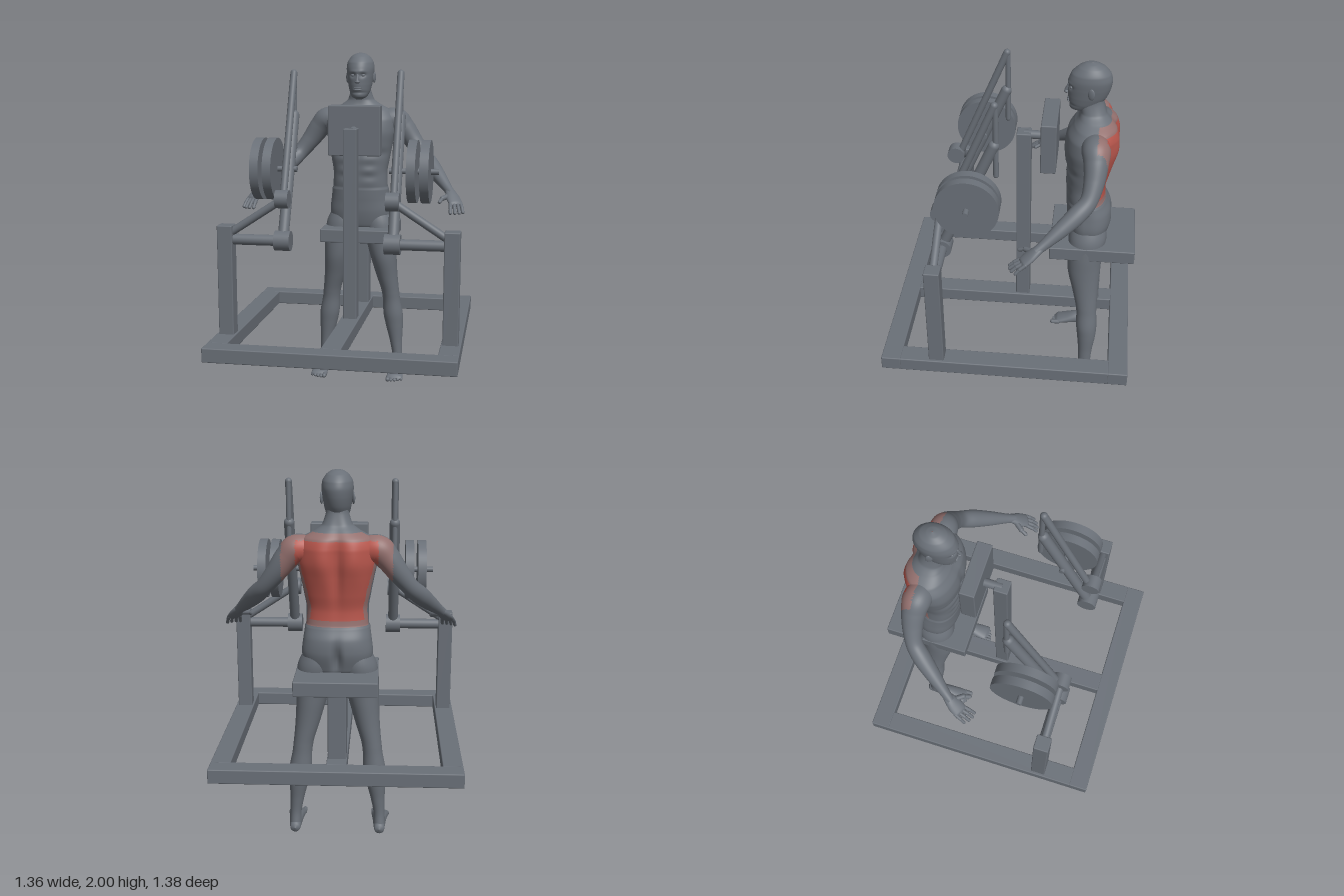
import * as THREE from 'three';
import { RoundedBoxGeometry } from 'three/addons/geometries/RoundedBoxGeometry.js';

const grey = new THREE.MeshStandardMaterial({ color: 0x6a7078 });
grey.name = 'slate grey';
const red = new THREE.MeshStandardMaterial({ color: 0xb9574d });
red.name = 'muscle red';
const pink = new THREE.MeshStandardMaterial({ color: 0x93706e });
pink.name = 'muscle edge pink';

const V = (a) => new THREE.Vector3(...a);
const bump = (v, c, w) => Math.exp(-(((v - c) / w) ** 2));

function add(parent, name, geometry, material = grey) {
  const mesh = new THREE.Mesh(geometry, material);
  mesh.name = name;
  parent.add(mesh);
  return mesh;
}

// Box given by its limits on each axis, with softly rounded edges
function box(parent, name, [x0, x1], [y0, y1], [z0, z1]) {
  const g = new RoundedBoxGeometry(x1 - x0, y1 - y0, z1 - z0, 2, 0.006);
  g.translate((x0 + x1) / 2, (y0 + y1) / 2, (z0 + z1) / 2);
  return add(parent, name, g);
}

// Bar between two points, flat-ended or round-ended
function bar(parent, name, from, to, r, round = false, sides = 28) {
  const a = V(from), b = V(to), len = a.distanceTo(b);
  const g = round ? new THREE.CapsuleGeometry(r, len, 6, sides) : new THREE.CylinderGeometry(r, r, len, sides);
  const mesh = add(parent, name, g);
  mesh.position.copy(a).add(b).multiplyScalar(0.5);
  mesh.quaternion.setFromUnitVectors(V([0, 1, 0]), b.sub(a).normalize());
  return mesh;
}

function ball(parent, name, [x, y, z], [rx, ry, rz]) {
  const mesh = add(parent, name, new THREE.SphereGeometry(1, 20, 14));
  mesh.position.set(x, y, z);
  mesh.scale.set(rx, ry, rz);
  return mesh;
}

// Smooth skin over oval sections [x, y, z, half width, half depth];
// sections stand across `axis`, or across the path when axis is null
function skin(stations, { axis = null, up = [0, 0, 1], around = 32, along = 48, power = 2, deform = null } = {}) {
  const path = new THREE.CatmullRomCurve3(stations.map((s) => V(s.slice(0, 3))));
  const size = new THREE.CatmullRomCurve3(stations.map((s) => new THREE.Vector3(s[3], s[4] ?? s[3], 0)));
  const pos = [], idx = [], e = 2 / power;
  const curve = (v) => Math.sign(v) * Math.abs(v) ** e;
  for (let i = 0; i <= along; i++) {
    const t = i / along, c = path.getPoint(t), r = size.getPoint(t);
    const d = axis ? V(axis) : path.getTangent(t);
    const A = new THREE.Vector3().crossVectors(d, V(up)).normalize();
    const B = new THREE.Vector3().crossVectors(A, d);
    for (let j = 0; j < around; j++) {
      const q = (j / around) * Math.PI * 2;
      const p = c.clone().addScaledVector(A, Math.max(r.x, 0.001) * curve(Math.cos(q)))
        .addScaledVector(B, Math.max(r.y, 0.001) * curve(Math.sin(q)));
      if (deform) deform(p, Math.sin(q));
      pos.push(p.x, p.y, p.z);
      if (i < along) {
        const a = i * around + j, b = i * around + ((j + 1) % around);
        idx.push(a, a + around, b, b, a + around, b + around);
      }
    }
  }
  const g = new THREE.BufferGeometry();
  g.setAttribute('position', new THREE.Float32BufferAttribute(pos, 3));
  g.setIndex(idx);
  g.computeVertexNormals();
  return g;
}

// Sort faces into grey, red and pink groups by where they lie on the back
function paintBack(g) {
  const p = g.attributes.position, old = g.index.array, lists = [[], [], []];
  for (let i = 0; i < old.length; i += 3) {
    const f = [old[i], old[i + 1], old[i + 2]];
    const mean = (get) => f.reduce((s, k) => s + p[get](k) / 3, 0);
    const x = Math.abs(mean('getX')), y = mean('getY'), z = mean('getZ');
    const low = Math.max(0, 1.4 - y) * 0.12;
    const isRed = y > 1.22 && y < 1.645 && z < -0.485 + low && x < 0.215;
    const isPink = y > 1.19 && y < 1.685 && z < -0.455 + low && x < 0.29;
    lists[isRed ? 1 : isPink ? 2 : 0].push(...f);
  }
  g.setIndex(lists.flat());
  let start = 0;
  lists.forEach((l, m) => { g.addGroup(start, l.length, m); start += l.length; });
  return g;
}

// Upright section from [y, half width, front z, back z]
const upright = ([y, w, f, b]) => [0, y, (f + b) / 2, w, (f - b) / 2];

function buildMachine(root) {
  const m = new THREE.Group();
  m.name = 'machine';
  root.add(m);
  const h = [0.37, 0.45];
  box(m, 'frontFrameBeam', [-0.68, 0.68], h, [0.58, 0.69]);
  box(m, 'backFrameBeam', [-0.68, 0.68], h, [-0.69, -0.58]);
  box(m, 'centreFrameBeam', [-0.055, 0.055], h, [-0.585, 0.585]);
  box(m, 'padPost', [-0.04, 0.04], [0.44, 1.57], [-0.09, -0.01]);
  box(m, 'seatPost', [-0.05, 0.05], [0.44, 0.87], [-0.51, -0.41]);
  box(m, 'seat', [-0.22, 0.22], [0.865, 0.945], [-0.695, -0.215]);
  box(m, 'chestPad', [-0.155, 0.155], [1.4, 1.695], [-0.235, -0.15]);
  bar(m, 'padBracket', [0, 1.55, -0.155], [0, 1.55, -0.05], 0.024);
  for (const s of [1, -1]) {
    const side = new THREE.Group();
    side.name = s > 0 ? 'leftLoadArm' : 'rightLoadArm';
    m.add(side);
    const span = (a, b) => (s > 0 ? [a, b] : [-b, -a]);
    box(side, 'sideFrameBeam', span(0.57, 0.68), h, [-0.585, 0.585]);
    box(side, 'sidePost', span(0.58, 0.665), [0.44, 1.065], [0.335, 0.42]);
    bar(side, 'lowerTube', [s * 0.59, 0.985, 0.377], [s * 0.3, 0.985, 0.377], 0.03);
    bar(side, 'lowerPivot', [s * 0.345, 0.985, 0.377], [s * 0.258, 0.985, 0.377], 0.055);
    bar(side, 'upperTube', [s * 0.6, 1.02, 0.38], [s * 0.3, 1.215, 0.38], 0.022);
    bar(side, 'upperPivot', [s * 0.337, 1.215, 0.38], [s * 0.265, 1.215, 0.38], 0.05);
    bar(side, 'lever', [s * 0.302, 0.985, 0.377], [s * 0.302, 1.65, 0.08], 0.03, true);
    bar(side, 'upperLever', [s * 0.302, 1.215, 0.36], [s * 0.302, 1.885, 0.075], 0.02, true);
    bar(side, 'handle', [s * 0.302, 1.885, 0.07], [s * 0.302, 1.47, 0.07], 0.015, true);
    bar(side, 'plateAxle', [s * 0.258, 1.36, 0.207], [s * 0.53, 1.36, 0.207], 0.016);
    for (const x of [0.392, 0.463]) bar(side, 'weightPlate', [s * (x - 0.024), 1.36, 0.207], [s * (x + 0.024), 1.36, 0.207], 0.172, false, 64);
  }
}

function buildFigure(root) {
  const f = new THREE.Group();
  f.name = 'figure';
  root.add(f);

  // Torso and neck, with spine groove, shoulder blades, chest and trunks edge
  const torso = [[0.9, 0.06, -0.38, -0.48], [0.95, 0.165, -0.325, -0.525], [1.05, 0.185, -0.305, -0.55],
    [1.12, 0.177, -0.3, -0.545], [1.19, 0.168, -0.295, -0.515], [1.27, 0.165, -0.29, -0.51],
    [1.36, 0.178, -0.285, -0.53], [1.45, 0.195, -0.277, -0.55], [1.53, 0.21, -0.273, -0.562],
    [1.6, 0.21, -0.287, -0.562], [1.655, 0.18, -0.32, -0.55], [1.69, 0.12, -0.343, -0.52],
    [1.72, 0.08, -0.35, -0.495], [1.78, 0.06, -0.345, -0.475], [1.84, 0.055, -0.36, -0.47]].map(upright);
  const shapeTorso = (p, s) => {
    const x = Math.abs(p.x);
    if (s < 0) {
      const back = bump(p.y, 1.5, 0.17);
      p.z += -s * (0.028 * bump(x, 0, 0.03) * back - 0.014 * bump(x, 0.09, 0.045) * bump(p.y, 1.55, 0.1));
      p.z += -s * 0.035 * bump(x, 0, 0.02) * bump(p.y, 1.02, 0.07);
    } else {
      p.z -= s * (0.012 * bump(x, 0, 0.02) * bump(p.y, 1.46, 0.14) + 0.012 * bump(p.y, 1.4, 0.025));
      p.z -= s * 0.005 * bump(x, 0.07, 0.05) * Math.cos(p.y * 80) * bump(p.y, 1.29, 0.07);
    }
    if (p.y < 1.187) { p.x *= 1.025; p.z -= p.z > -0.41 ? -0.003 : 0.003; }
  };
  add(f, 'torso', paintBack(skin(torso, { axis: [0, 1, 0], around: 96, along: 130, power: 2.3, deform: shapeTorso })), [grey, red, pink]);

  // Head with brow, eye sockets and cheeks shaped in
  const head = [[1.722, 0.015, -0.32, -0.36], [1.738, 0.044, -0.293, -0.41], [1.77, 0.061, -0.284, -0.46],
    [1.81, 0.071, -0.281, -0.488], [1.86, 0.079, -0.279, -0.506], [1.9, 0.083, -0.281, -0.512],
    [1.94, 0.079, -0.295, -0.503], [1.975, 0.058, -0.33, -0.472], [1.993, 0.032, -0.365, -0.435],
    [2, 0.003, -0.4, -0.406]].map(upright);
  const shapeHead = (p, s) => {
    if (s < 0) return;
    const x = Math.abs(p.x);
    p.z -= s * 0.013 * bump(x, 0.032, 0.017) * bump(p.y, 1.866, 0.013);
    p.z += s * 0.005 * bump(x, 0.025, 0.03) * bump(p.y, 1.888, 0.01);
    p.z -= s * 0.006 * bump(p.y, 1.765, 0.009);
  };
  add(f, 'head', skin(head, { axis: [0, 1, 0], around: 64, along: 72, deform: shapeHead }));
  bar(f, 'noseBridge', [0, 1.865, -0.283], [0, 1.832, -0.269], 0.009, true, 12);
  ball(f, 'noseTip', [0, 1.828, -0.272], [0.016, 0.01, 0.013]);
  for (const y of [1.79, 1.78]) ball(f, 'lip', [0, y, -0.284], [0.025, 0.006, 0.007]);

  for (const s of [1, -1]) {
    const side = s > 0 ? 'left' : 'right';
    const flip = (st) => st.map(([x, ...rest]) => [s * x, ...rest]);
    ball(f, side + 'Eye', [s * 0.031, 1.866, -0.298], [0.013, 0.008, 0.008]);
    ball(f, side + 'Ear', [s * 0.082, 1.853, -0.405], [0.008, 0.032, 0.019]).rotation.y = -s * 0.3;

    // Leg
    const leg = [[0.095, 1.07, -0.43, 0.07, 0.085], [0.115, 0.96, -0.425, 0.1, 0.107], [0.13, 0.86, -0.415, 0.094, 0.1],
      [0.145, 0.75, -0.415, 0.081, 0.094], [0.165, 0.63, -0.427, 0.066, 0.076], [0.185, 0.53, -0.438, 0.055, 0.063],
      [0.193, 0.47, -0.443, 0.054, 0.059], [0.203, 0.38, -0.447, 0.061, 0.061], [0.212, 0.3, -0.45, 0.054, 0.055],
      [0.223, 0.2, -0.448, 0.039, 0.042], [0.232, 0.11, -0.447, 0.031, 0.037], [0.234, 0.04, -0.45, 0.032, 0.044], [0.234, 0.008, -0.455, 0.024, 0.036]];
    add(f, side + 'Leg', skin(flip(leg), { axis: [0, -1, 0], along: 72 }));

    // Foot and toes
    const foot = [[0.234, 0.03, -0.508, 0.002, 0.002], [0.234, 0.03, -0.495, 0.027, 0.027], [0.234, 0.04, -0.44, 0.034, 0.04],
      [0.235, 0.04, -0.37, 0.04, 0.039], [0.237, 0.027, -0.3, 0.048, 0.026], [0.238, 0.018, -0.255, 0.049, 0.017], [0.238, 0.014, -0.238, 0.03, 0.006]];
    add(f, side + 'Foot', skin(flip(foot), { axis: [0, 0, 1], up: [0, 1, 0], along: 36 }));
    for (let i = 0; i < 5; i++) {
      const x = 0.2 + i * 0.02, r = i ? 0.0095 : 0.0135;
      bar(f, side + 'Toe', [s * x, 0.016, -0.265], [s * x, r, -0.224 - i * i * 0.0018], r, true, 12);
    }

    // Arm
    const arm = [[0.13, 1.575, -0.435, 0.05], [0.165, 1.59, -0.44, 0.075], [0.213, 1.592, -0.447, 0.077], [0.26, 1.55, -0.45, 0.067],
      [0.32, 1.47, -0.445, 0.056], [0.385, 1.388, -0.42, 0.047], [0.43, 1.34, -0.37, 0.05],
      [0.49, 1.277, -0.288, 0.042], [0.548, 1.217, -0.205, 0.028], [0.575, 1.19, -0.165, 0.024]];
    add(f, side + 'Arm', paintBack(skin(flip(arm), { up: [0, 1, 0], around: 40, along: 90 })), [grey, red, pink]);

    // Hand, fingers and thumb
    const palm = [[0.55, 1.215, -0.205, 0.02, 0.016], [0.568, 1.195, -0.175, 0.031, 0.021], [0.588, 1.165, -0.135, 0.042, 0.02],
      [0.605, 1.142, -0.102, 0.041, 0.015], [0.61, 1.135, -0.092, 0.03, 0.007]];
    add(f, side + 'Palm', skin(flip(palm), { up: [0, 1, 0], around: 24, along: 20 }));
    for (let i = 0; i < 4; i++) {
      const o = (i - 1.5) * 0.021, reach = [0.9, 1, 0.95, 0.75][i];
      const at = (k, drop) => [s * (0.604 + o * 0.9 + k * reach * (0.2 + o * 4)), 1.142 - drop, -0.105 - o * 0.42 + k * reach];
      bar(f, side + 'Finger', at(0, 0), at(0.04, 0.022), 0.0105, true, 12);
      bar(f, side + 'Fingertip', at(0.04, 0.022), at(0.068, 0.046), 0.0095, true, 12);
    }
    bar(f, side + 'ThumbBase', [s * 0.56, 1.178, -0.15], [s * 0.527, 1.168, -0.108], 0.015, true, 12);
    bar(f, side + 'ThumbTip', [s * 0.527, 1.168, -0.108], [s * 0.514, 1.152, -0.075], 0.0105, true, 12);
  }
}

export function createModel() {
  const root = new THREE.Group();
  root.name = 'rowingMachineWithFigure';
  buildMachine(root);
  buildFigure(root);
  return root;
}
